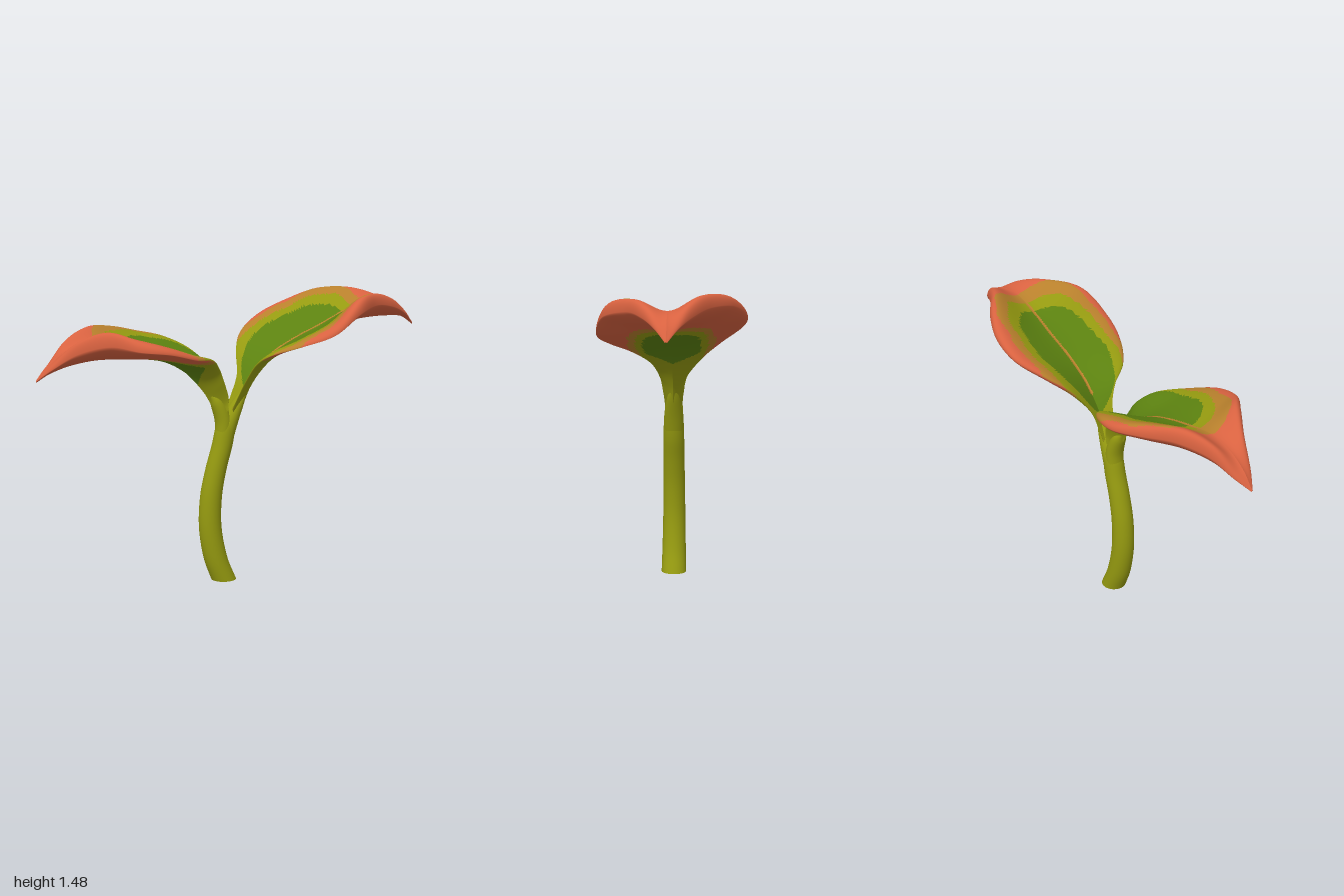
import * as THREE from 'three';

const flat = (name, color) => {
  const m = new THREE.MeshStandardMaterial({ color });
  m.name = name;
  return m;
};
const spline = points => new THREE.CatmullRomCurve3(points.map(p => new THREE.Vector3(...p)), false, 'catmullrom', 0.5);

// Rounded stalk lofted along [x, y, radius] points; level keeps its rings horizontal
function stalk(name, points, zScale, material, level = false) {
  const curve = spline(points);
  const rows = 40, sides = 28, pos = [], index = [];
  for (let i = 0; i <= rows; i++) {
    const p = curve.getPoint(i / rows), t = curve.getTangent(i / rows);
    const len = Math.hypot(t.x, t.y);
    const nx = level ? -1 : -t.y / len, ny = level ? 0 : t.x / len;
    for (let j = 0; j < sides; j++) {
      const a = j / sides * Math.PI * 2, c = Math.cos(a) * p.z;
      pos.push(p.x + nx * c, p.y + ny * c, Math.sin(a) * p.z * zScale);
      if (i === rows) continue;
      const k = i * sides + j, n = i * sides + (j + 1) % sides;
      index.push(k, n, k + sides, n, n + sides, k + sides);
    }
  }
  const g = new THREE.BufferGeometry();
  g.setAttribute('position', new THREE.Float32BufferAttribute(pos, 3));
  g.setIndex(index);
  g.computeVertexNormals();
  const mesh = new THREE.Mesh(g, material);
  mesh.name = name;
  return mesh;
}

// Colour band (0 green, 1 lime, 2 ochre, 3 coral) from the position on the blade
function band(x, z, under) {
  const dx = Math.abs(x - 0.32) / (under && x < 0.32 ? 0.44 : 0.27);
  const wobble = 1 + 0.02 * Math.sin(x * 31 + z * 17);
  let d = Math.pow(dx ** 2.2 + Math.abs(z / 0.2) ** 2.2, 1 / 2.2) * (under ? 1.42 : 1) * wobble;
  if (under && x < 0.19) d = Math.max(d, 1.01); // lime towards the stalk
  if (!under && Math.abs(z) < 0.008 && x > 0.12 && d < 1.25) return 2; // pale midrib
  return d < 1 ? 0 : d < 1.25 ? 1 : d < 1.5 ? 2 : 3;
}

// Solid blade with a rounded rim. Rows: [midrib x, y, keel x, y], back rim [x, y, width, crest], front rim likewise
function leaf(name, side, rows, materials) {
  const mid = spline(rows.map(r => [r[0][0], r[0][1], 0]));
  const keel = spline(rows.map(r => [r[0][2], r[0][3], 0]));
  const back = spline(rows.map(r => r[1].slice(0, 3)));
  const front = spline(rows.map(r => r[2].slice(0, 3)));
  const crest = spline(rows.map(r => [r[1][3], r[2][3], 0]));
  const nt = 120, half = 28, ring = half * 4, pos = [];
  for (let i = 0; i <= nt; i++) {
    const t = i / nt, m = mid.getPoint(t), k = keel.getPoint(t), h = crest.getPoint(t);
    const b = back.getPoint(t), f = front.getPoint(t);
    for (let c = 0; c < ring; c++) {
      const under = c > half * 2;
      const j = under ? half * 3 - c : c - half;
      const u = Math.abs(j) / half, s = u * u * (3 - 2 * u);
      const e = j < 0 ? b : f, o = under ? k : m;
      const round = Math.sqrt(Math.max(0, 1 - s * s));
      const y = under
        ? o.y + (e.y - o.y) * (0.5 * s ** 1.6 + 0.5 * (1 - round))
        : o.y + (e.y - o.y) * s + (j < 0 ? h.x : h.y) * 3.5 * s * s * Math.sqrt(Math.max(0, 1 - s));
      pos.push(side * (o.x + (e.x - o.x) * s), y, Math.sign(j) * e.z * s);
    }
  }
  // Triangles sorted into colour groups
  const buckets = [[], [], [], []];
  const add = (a, b, c, under) => {
    const x = side * (pos[a * 3] + pos[b * 3] + pos[c * 3]) / 3;
    const z = (pos[a * 3 + 2] + pos[b * 3 + 2] + pos[c * 3 + 2]) / 3;
    buckets[band(x, z, under)].push(...(side < 0 ? [a, c, b] : [a, b, c]));
  };
  for (let i = 0; i < nt; i++) for (let c = 0; c < ring; c++) {
    const a = i * ring + c, b = i * ring + (c + 1) % ring, under = c >= half * 2;
    add(a, b, a + ring, under);
    add(b, b + ring, a + ring, under);
  }
  const g = new THREE.BufferGeometry();
  g.setAttribute('position', new THREE.Float32BufferAttribute(pos, 3));
  g.setIndex(buckets.flat());
  let start = 0;
  buckets.forEach((list, n) => { g.addGroup(start, list.length, n); start += list.length; });
  g.computeVertexNormals();
  const mesh = new THREE.Mesh(g.toNonIndexed(), materials); // unshared corners keep the bands crisp
  mesh.name = name;
  return mesh;
}

export function createModel() {
  const green = flat('deep green', 0x5c8210), lime = flat('olive lime', 0x959a10);
  const ochre = flat('ochre', 0xb8802c), coral = flat('coral', 0xd86240);
  const bands = [green, lime, ochre, coral];
  const model = new THREE.Group();
  model.name = 'seedling';

  // Curved stem and its cut end
  model.add(stalk('stem', [
    [-0.055, 0, 0.064], [-0.1, 0.12, 0.061], [-0.127, 0.28, 0.058], [-0.122, 0.44, 0.056],
    [-0.095, 0.58, 0.054], [-0.062, 0.7, 0.053], [-0.043, 0.8, 0.049], [-0.037, 0.845, 0.03], [-0.036, 0.858, 0.001],
  ], 1, lime, true));
  const cut = new THREE.Mesh(new THREE.CircleGeometry(0.064, 28), ochre);
  cut.name = 'stemCutEnd';
  cut.rotation.x = Math.PI / 2;
  cut.position.set(-0.055, 0, 0);
  model.add(cut);

  // Short stalks joining the stem to the blades
  model.add(stalk('leftLeafStalk', [
    [-0.058, 0.7, 0.042], [-0.022, 0.82, 0.042], [0.028, 0.92, 0.028], [0.058, 0.965, 0.012], [0.068, 0.98, 0.002],
  ], 1.15, lime));
  model.add(stalk('rightLeafStalk', [
    [-0.06, 0.7, 0.042], [-0.056, 0.82, 0.042], [-0.09, 0.92, 0.033], [-0.12, 0.96, 0.014], [-0.13, 0.975, 0.002],
  ], 1.15, lime));

  // Taller leaf on +x
  model.add(leaf('leftLeaf', 1, [
    [[-0.015, 0.875, 0.02, 0.84], [-0.022, 0.89, 0.045, 0], [-0.022, 0.89, 0.045, 0]],
    [[0.018, 0.925, 0.055, 0.91], [0.005, 0.95, 0.052, 0], [0.005, 0.95, 0.052, 0]],
    [[0.07, 1.01, 0.088, 0.985], [0.045, 1.05, 0.075, 0], [0.045, 1.04, 0.07, 0]],
    [[0.135, 1.09, 0.14, 1.06], [0.075, 1.17, 0.17, 0.005], [0.08, 1.12, 0.12, 0.005]],
    [[0.22, 1.165, 0.22, 1.137], [0.14, 1.25, 0.27, 0.02], [0.13, 1.17, 0.21, 0.015]],
    [[0.34, 1.235, 0.34, 1.208], [0.27, 1.32, 0.355, 0.035], [0.25, 1.215, 0.3, 0.025]],
    [[0.47, 1.295, 0.47, 1.263], [0.42, 1.375, 0.352, 0.05], [0.40, 1.27, 0.35, 0.045]],
    [[0.60, 1.36, 0.60, 1.308], [0.56, 1.42, 0.29, 0.058], [0.55, 1.365, 0.31, 0.07]],
    [[0.73, 1.405, 0.73, 1.326], [0.70, 1.42, 0.19, 0.057], [0.70, 1.4, 0.19, 0.055]],
    [[0.85, 1.405, 0.85, 1.332], [0.83, 1.39, 0.115, 0.04], [0.83, 1.385, 0.115, 0.035]],
    [[0.94, 1.365, 0.94, 1.325], [0.93, 1.347, 0.055, 0.01], [0.93, 1.345, 0.055, 0.01]],
    [[1.0, 1.295, 0.998, 1.285], [1.0, 1.29, 0.004, 0], [1.0, 1.29, 0.004, 0]],
  ], bands));

  // Lower leaf on -x
  model.add(leaf('rightLeaf', -1, [
    [[0.052, 0.88, 0.087, 0.84], [0.045, 0.89, 0.045, 0], [0.045, 0.89, 0.045, 0]],
    [[0.075, 0.92, 0.117, 0.9], [0.045, 0.95, 0.05, 0], [0.045, 0.95, 0.05, 0]],
    [[0.12, 0.99, 0.152, 0.963], [0.075, 1.03, 0.07, 0], [0.075, 1.03, 0.07, 0]],
    [[0.18, 1.055, 0.205, 1.027], [0.11, 1.11, 0.115, 0.005], [0.11, 1.10, 0.1, 0.005]],
    [[0.26, 1.11, 0.265, 1.083], [0.18, 1.18, 0.215, 0.015], [0.17, 1.15, 0.18, 0.012]],
    [[0.36, 1.16, 0.36, 1.132], [0.29, 1.22, 0.295, 0.03], [0.29, 1.17, 0.3, 0.025]],
    [[0.48, 1.195, 0.48, 1.155], [0.42, 1.235, 0.32, 0.042], [0.43, 1.205, 0.35, 0.035]],
    [[0.61, 1.22, 0.61, 1.16], [0.56, 1.25, 0.275, 0.055], [0.57, 1.22, 0.325, 0.055]],
    [[0.73, 1.235, 0.73, 1.156], [0.70, 1.25, 0.19, 0.06], [0.69, 1.24, 0.225, 0.065]],
    [[0.85, 1.205, 0.85, 1.132], [0.83, 1.205, 0.11, 0.045], [0.82, 1.2, 0.12, 0.045]],
    [[0.94, 1.145, 0.94, 1.098], [0.93, 1.125, 0.055, 0.012], [0.93, 1.125, 0.055, 0.012]],
    [[1.0, 1.07, 0.998, 1.06], [1.0, 1.065, 0.004, 0], [1.0, 1.065, 0.004, 0]],
  ], bands));

  return model;
}
